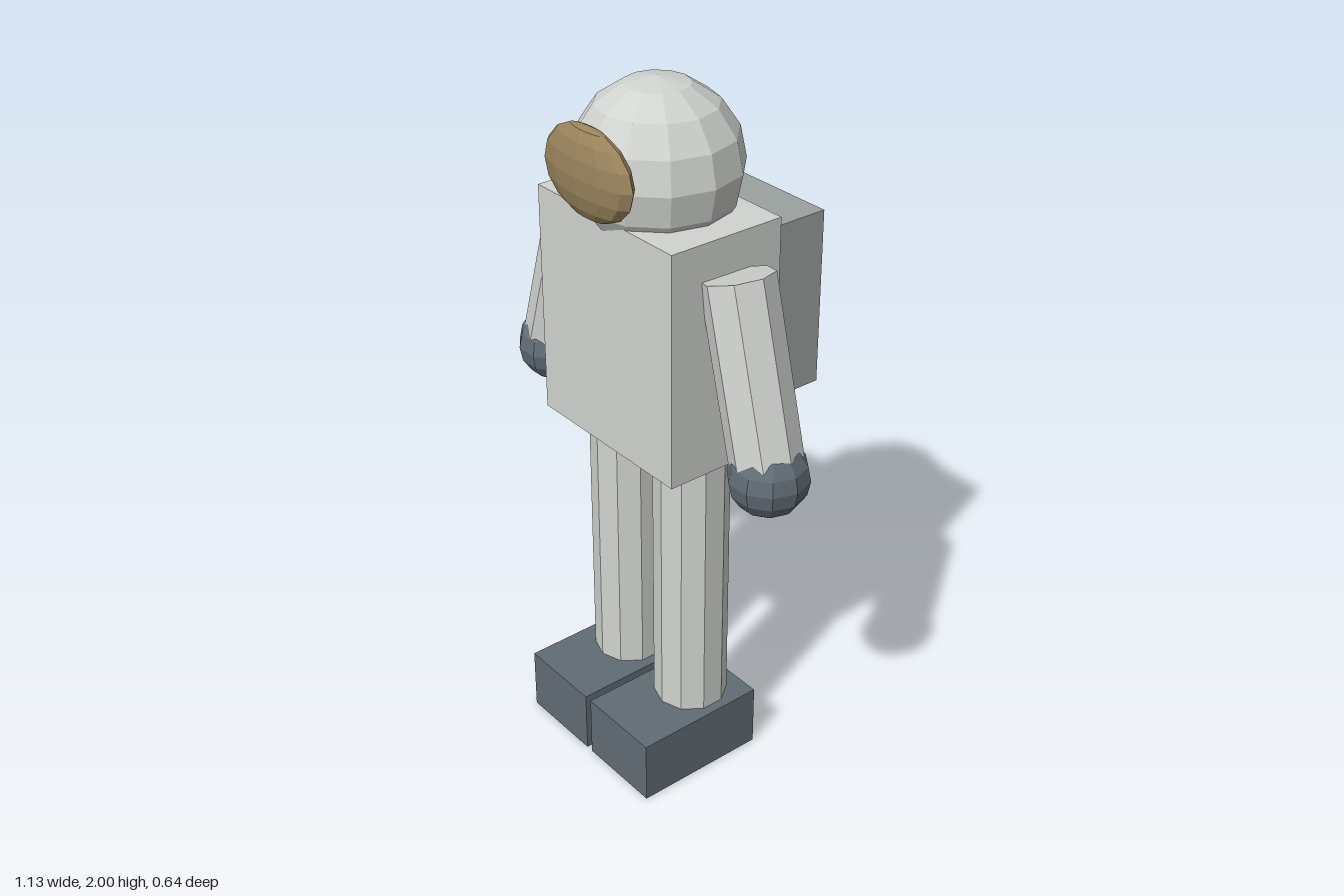
import * as THREE from 'three';

const flat = (name, color) => {
  const m = new THREE.MeshStandardMaterial({ color, flatShading: true });
  m.name = name;
  return m;
};

export function createModel() {
  const suit = flat('suit white', 0xd0d3cf);
  const packGrey = flat('pack grey', 0x9ba2a0);
  const dark = flat('dark slate', 0x616c75);
  const gold = flat('visor bronze', 0x99835c);

  const model = new THREE.Group();
  model.name = 'spacesuitFigure';
  const add = (name, geometry, material, x, y, z) => {
    const mesh = new THREE.Mesh(geometry, material);
    mesh.name = name;
    mesh.position.set(x, y, z);
    model.add(mesh);
    return mesh;
  };

  // Body, helmet and backpack
  add('torso', new THREE.BoxGeometry(0.547, 0.66, 0.35), suit, 0, 1.34, 0.058);
  add('helmet', new THREE.SphereGeometry(0.227, 12, 8), suit, 0, 1.773, 0.057);
  add('backpack', new THREE.BoxGeometry(0.424, 0.505, 0.206), packGrey, 0, 1.3575, -0.22);

  // Flattened ellipsoid visor
  add('visor', new THREE.SphereGeometry(1, 12, 8), gold, 0, 1.801, 0.269)
    .scale.set(0.176, 0.122, 0.046);

  for (const [side, s] of [['left', 1], ['right', -1]]) {
    // Leg and boot
    add(side + 'Leg', new THREE.CylinderGeometry(0.105, 0.105, 0.86, 10), suit, s * 0.141, 0.6, 0.058);
    add(side + 'Boot', new THREE.BoxGeometry(0.258, 0.188, 0.398), dark, s * 0.14, 0.094, 0.123);

    // Arm splayed outwards, from shoulder to hand
    const shoulder = new THREE.Vector3(s * 0.313, 1.578, 0.058);
    const hand = new THREE.Vector3(s * 0.458, 1.077, 0.068);
    const axis = shoulder.clone().sub(hand);
    const mid = shoulder.clone().add(hand).multiplyScalar(0.5);
    add(side + 'Arm', new THREE.CylinderGeometry(0.097, 0.097, axis.length(), 8), suit, mid.x, mid.y, mid.z)
      .quaternion.setFromUnitVectors(new THREE.Vector3(0, 1, 0), axis.normalize());
    add(side + 'Glove', new THREE.SphereGeometry(0.109, 10, 8), dark, hand.x, hand.y, hand.z);
  }
  return model;
}
